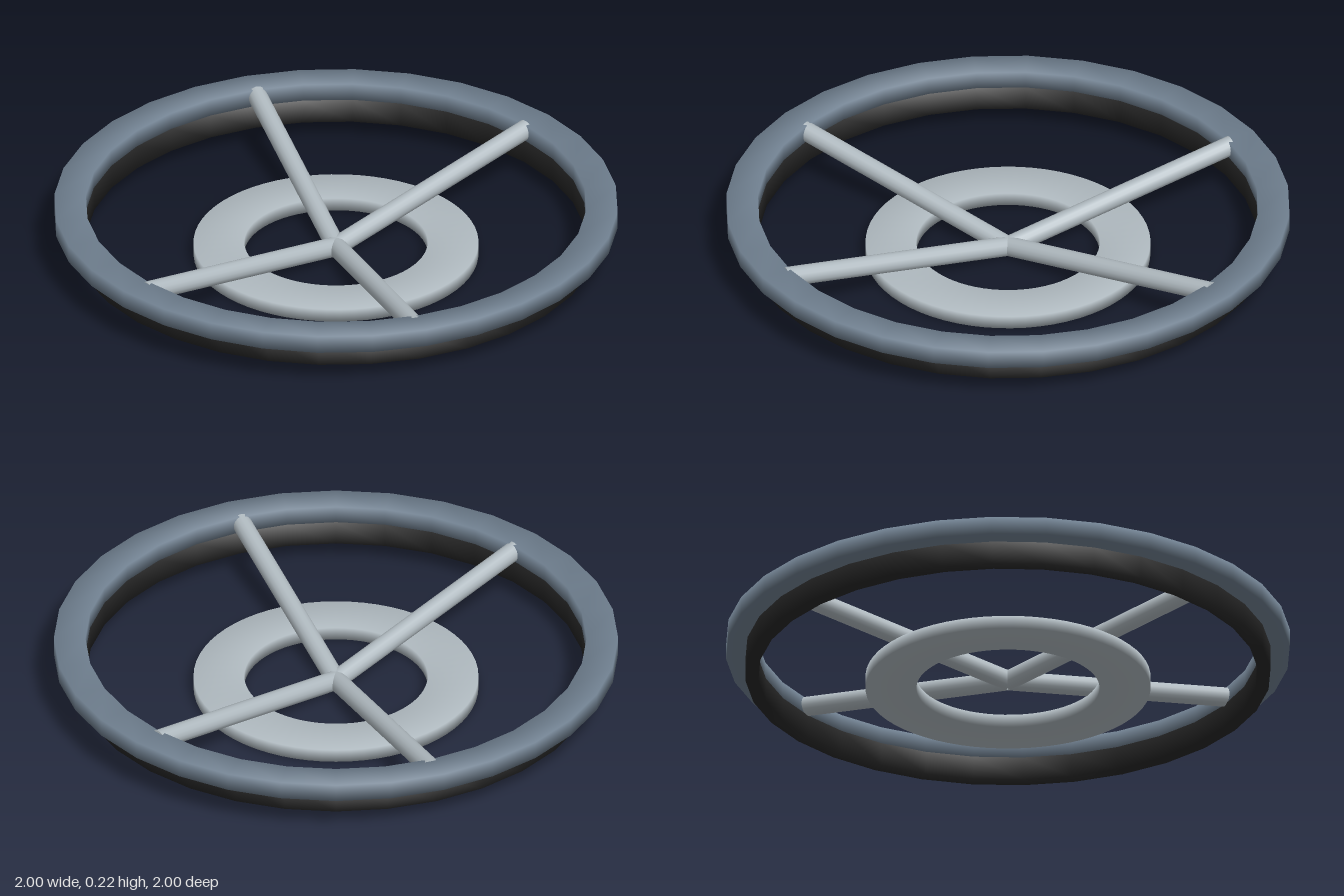
import * as THREE from 'three';
import { mergeVertices } from 'three/addons/utils/BufferGeometryUtils.js';

const rimGrey = new THREE.MeshStandardMaterial({ color: 0x708090, name: 'slateGrey' });
const black = new THREE.MeshStandardMaterial({ color: 0x222222, name: 'softBlack' });
const silver = new THREE.MeshStandardMaterial({ color: 0xb0bac0, name: 'paleGrey' });

// Ring of rectangular section, with normals blended round its edges
function ring(name, material, inner, outer, bottom, top, segments) {
  const profile = [[inner, bottom], [outer, bottom], [outer, top], [inner, top], [inner, bottom]]
    .map(([r, y]) => new THREE.Vector2(r, y));
  let geometry = new THREE.LatheGeometry(profile, segments);
  geometry.deleteAttribute('normal');
  geometry.deleteAttribute('uv');
  geometry = mergeVertices(geometry, 1e-4);
  geometry.computeVertexNormals();
  const mesh = new THREE.Mesh(geometry, material);
  mesh.name = name;
  return mesh;
}

// Round bar between two points
function bar(name, from, to, radius) {
  const along = to.clone().sub(from);
  const mesh = new THREE.Mesh(new THREE.CylinderGeometry(radius, radius, along.length(), 16), silver);
  mesh.position.copy(from).lerp(to, 0.5);
  mesh.quaternion.setFromUnitVectors(new THREE.Vector3(0, 1, 0), along.normalize());
  mesh.name = name;
  return mesh;
}

export function createModel() {
  const model = new THREE.Group();
  model.name = 'spokedWheel';

  // Rim, the band beneath it and the small base ring
  model.add(ring('rim', rimGrey, 0.888, 1.0, 0.145, 0.21, 32));
  model.add(ring('underBand', black, 0.886, 0.932, 0.06, 0.147, 32));
  model.add(ring('baseRing', silver, 0.325, 0.505, 0.005, 0.053, 64));

  // Four spokes rising from the hub to the rim
  const hub = new THREE.Vector3(0, 0.035, 0);
  for (const sx of [-1, 1]) {
    for (const sz of [-1, 1]) {
      const name = (sz > 0 ? 'front' : 'back') + (sx > 0 ? 'Left' : 'Right') + 'Spoke';
      const tip = new THREE.Vector3(sx * 0.495, sz < 0 ? 0.183 : 0.179, sz * 0.758);
      model.add(bar(name, hub, tip, 0.035));
    }
  }
  return model;
}
